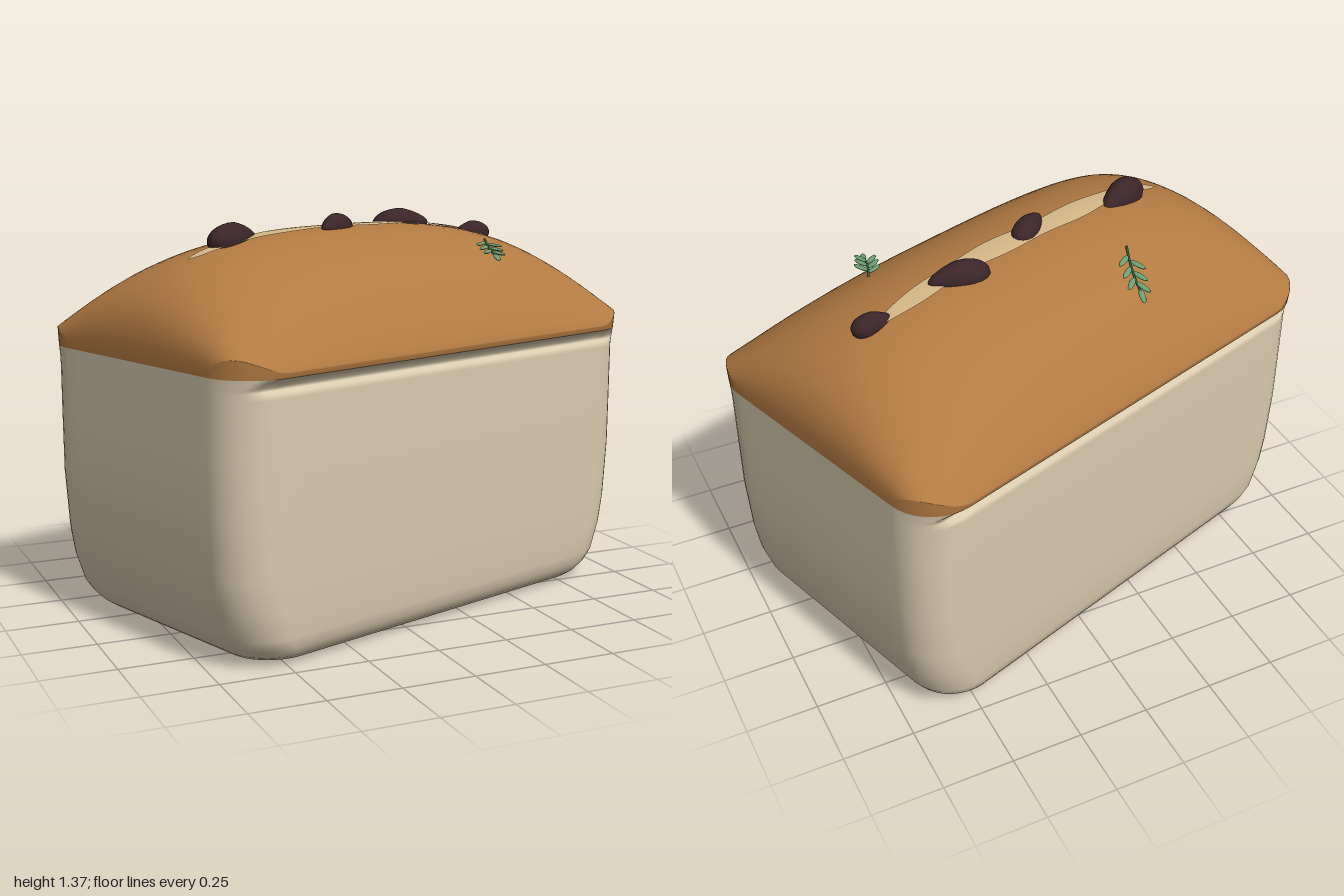
import * as THREE from 'three';

const mat = (name, color, side = THREE.FrontSide) => {
  const m = new THREE.MeshStandardMaterial({ color, side });
  m.name = name;
  return m;
};

const TURN = 0.32, C = Math.cos(TURN), S = Math.sin(TURN);
const LEN = 0.913, WID = 0.565, RIM = 0.95;

// Height of the domed crust at a point in the loaf's own axes
function domeHeight(u, v) {
  const a = Math.max(0, 1 - Math.pow(Math.min(1, Math.abs(u) / LEN), 2.8));
  const b = Math.max(0, 1 - (v / WID) ** 2);
  return RIM + 0.37 * Math.pow(a, 0.4) * Math.pow(b, 0.8);
}
const heightAt = (x, z) => domeHeight(x * C - z * S, x * S + z * C);

// Rounded rectangle with subdivided edges
function outline(L, W, r, arc = 9, edge = 12) {
  const corners = [[1, 1], [-1, 1], [-1, -1], [1, -1]];
  const pts = [];
  corners.forEach(([sx, sz], k) => {
    for (let i = 0; i <= arc; i++) {
      const a = (k + i / arc) * Math.PI / 2;
      pts.push([sx * (L - r) + r * Math.cos(a), sz * (W - r) + r * Math.sin(a)]);
    }
    const p = pts[pts.length - 1], a = (k + 1) * Math.PI / 2, n = corners[(k + 1) % 4];
    const q = [n[0] * (L - r) + r * Math.cos(a), n[1] * (W - r) + r * Math.sin(a)];
    for (let i = 1; i < edge; i++) {
      const t = i / edge;
      pts.push([p[0] + (q[0] - p[0]) * t, p[1] + (q[1] - p[1]) * t]);
    }
  });
  return pts;
}

// Skin a list of closed rings, ordered from the bottom up
function loft(rings) {
  const n = rings[0].length, index = [];
  for (let j = 0; j < rings.length - 1; j++) {
    for (let i = 0; i < n; i++) {
      const k = (i + 1) % n, a = j * n, b = a + n;
      index.push(a + i, b + i, a + k, b + i, b + k, a + k);
    }
  }
  const g = new THREE.BufferGeometry();
  g.setAttribute('position', new THREE.Float32BufferAttribute(rings.flat(2), 3));
  g.setIndex(index);
  g.computeVertexNormals();
  return g;
}

function addMesh(parent, name, geometry, material) {
  const m = new THREE.Mesh(geometry, material);
  m.name = name;
  parent.add(m);
  return m;
}

// Pale lower loaf, with a groove under the crust on the long sides
function bodyGeometry() {
  const ring = (y, L, W, r, limit = 9, s = 1) => outline(L, W, r).map(([x, z]) =>
    [x * s, y, Math.sign(z) * Math.min(Math.abs(z), limit) * s]);
  return loft([
    ring(0, 0.74, 0.44, 0.15, 9, 0),
    ring(0, 0.74, 0.44, 0.15, 9, 0.95),
    ring(0.003, 0.74, 0.44, 0.15),
    ring(0.012, 0.775, 0.475, 0.15),
    ring(0.03, 0.80, 0.498, 0.15),
    ring(0.06, 0.826, 0.515, 0.15),
    ring(0.1, 0.852, 0.526, 0.15),
    ring(0.2, 0.884, 0.532, 0.15),
    ring(0.3, 0.90, 0.535, 0.15),
    ring(0.5, 0.912, 0.539, 0.15),
    ring(0.7, LEN, 0.542, 0.155),
    ring(0.87, LEN, 0.545, 0.16),
    ring(0.888, LEN, 0.547, 0.16, 0.542),
    ring(0.895, LEN, 0.549, 0.165, 0.522),
    ring(0.905, LEN, 0.552, 0.165, 0.52),
    ring(0.922, LEN, 0.557, 0.17, 0.538),
    ring(0.935, LEN, 0.56, 0.17),
  ]);
}

// Domed brown crust
function crustGeometry() {
  const edge = outline(LEN, WID, 0.17);
  const rings = [outline(LEN, 0.56, 0.17).map(([x, z]) => [x, 0.935, z])];
  const n = 26;
  for (let j = 0; j <= n; j++) {
    const s = j === n ? 0 : Math.cos(j / n * Math.PI / 2);
    rings.push(edge.map(([x, z]) => [x * s, domeHeight(x * s, z * s), z * s]));
  }
  return loft(rings);
}

// Thin pale split laid along the ridge
function splitGeometry() {
  const g = new THREE.PlaneGeometry(1, 2, 40, 6).rotateX(-Math.PI / 2);
  const p = g.attributes.position;
  for (let i = 0; i < p.count; i++) {
    const t = p.getX(i) * 2, u = -0.03 + t * 0.66;
    const half = 0.046 * Math.pow(Math.max(0, 1 - t * t), 0.4) * (1 + 0.12 * Math.sin(u * 17));
    const v = p.getZ(i) * half + 0.006 * Math.sin(u * 9);
    p.setXYZ(i, u, domeHeight(u, v) + 0.005, v);
  }
  g.computeVertexNormals();
  return g;
}

// Half olive, blunt at -x and tapering towards +x
function oliveGeometry() {
  const g = new THREE.SphereGeometry(1, 20, 14);
  const p = g.attributes.position;
  for (let i = 0; i < p.count; i++) {
    const k = 1 - 0.35 * p.getX(i);
    p.setXYZ(i, p.getX(i), p.getY(i) * Math.min(1, k), p.getZ(i) * k);
  }
  g.computeVertexNormals();
  return g;
}

// Herb sprig: a thin stem with paired narrow leaves
function makeSprig(base, tip, leafMat, stemMat) {
  const sprig = new THREE.Group();
  sprig.name = 'herbSprig';
  const along = tip.clone().sub(base), length = along.length();
  const x = along.normalize();
  const z = new THREE.Vector3().crossVectors(x, new THREE.Vector3(0, 1, 0)).normalize();
  const y = new THREE.Vector3().crossVectors(z, x);
  sprig.quaternion.setFromRotationMatrix(new THREE.Matrix4().makeBasis(x, y, z));
  sprig.position.copy(base);
  const curve = new THREE.QuadraticBezierCurve3(new THREE.Vector3(),
    new THREE.Vector3(length / 2, 0.005, 0.015), new THREE.Vector3(length * 0.85, 0, 0));
  addMesh(sprig, 'sprigStem', new THREE.TubeGeometry(curve, 10, 0.0045, 6), stemMat);
  const leaf = new THREE.SphereGeometry(1, 10, 8).scale(0.036, 0.005, 0.011).translate(0.036, 0, 0);
  [0.22, 0.45, 0.68].forEach((t, i) => {
    for (const side of [-1, 1]) {
      const m = addMesh(sprig, 'sprigLeaf', leaf, leafMat);
      m.position.copy(curve.getPoint(Math.min(1, t + side * 0.05)));
      m.rotation.set(0, side * (0.65 - i * 0.08), 0.1);
    }
  });
  addMesh(sprig, 'sprigLeaf', leaf, leafMat).position.set(length * 0.76, 0, 0);
  return sprig;
}

export function createModel() {
  const crumb = mat('pale dough', 0xd8caae);
  const crust = mat('brown crust', 0xb27a42);
  const split = mat('split dough', 0xd6b988, THREE.DoubleSide);
  const olive = mat('dark olive', 0x3b2528);
  const leaf = mat('herb leaf', 0x6fa173);
  const stem = mat('herb stem', 0x315c3c);

  const model = new THREE.Group();
  model.name = 'oliveLoaf';
  const loaf = new THREE.Group();
  loaf.name = 'loaf';
  loaf.rotation.y = TURN;
  model.add(loaf);
  addMesh(loaf, 'loafBody', bodyGeometry(), crumb);
  addMesh(loaf, 'crust', crustGeometry(), crust);
  addMesh(loaf, 'crustSplit', splitGeometry(), split);

  // Olives along the split: x, z, half length, half width, top height, turn
  const oliveShape = oliveGeometry();
  [
    [-0.465, 0.13, 0.112, 0.052, 1.355, 0.52],
    [-0.06, 0.042, 0.092, 0.042, 1.367, 0.72 + Math.PI],
    [0.27, -0.12, 0.108, 0.05, 1.367, -0.03],
    [0.597, -0.185, 0.075, 0.037, 1.307, 0.1 + Math.PI],
  ].forEach(([x, z, l, w, top, turn]) => {
    const m = addMesh(model, 'olive', oliveShape, olive);
    const y = heightAt(x, z);
    m.position.set(x, y, z);
    m.scale.set(l, top - y, w);
    m.rotation.y = turn;
  });

  // Two sprigs resting on the slopes
  const V = (x, y, z) => new THREE.Vector3(x, y, z);
  model.add(makeSprig(V(-0.34, heightAt(-0.34, -0.14) + 0.012, -0.14), V(-0.27, 1.22, -0.39), leaf, stem));
  model.add(makeSprig(V(0.51, heightAt(0.51, 0.08) + 0.012, 0.08), V(0.45, 1.21, 0.29), leaf, stem));
  return model;
}
